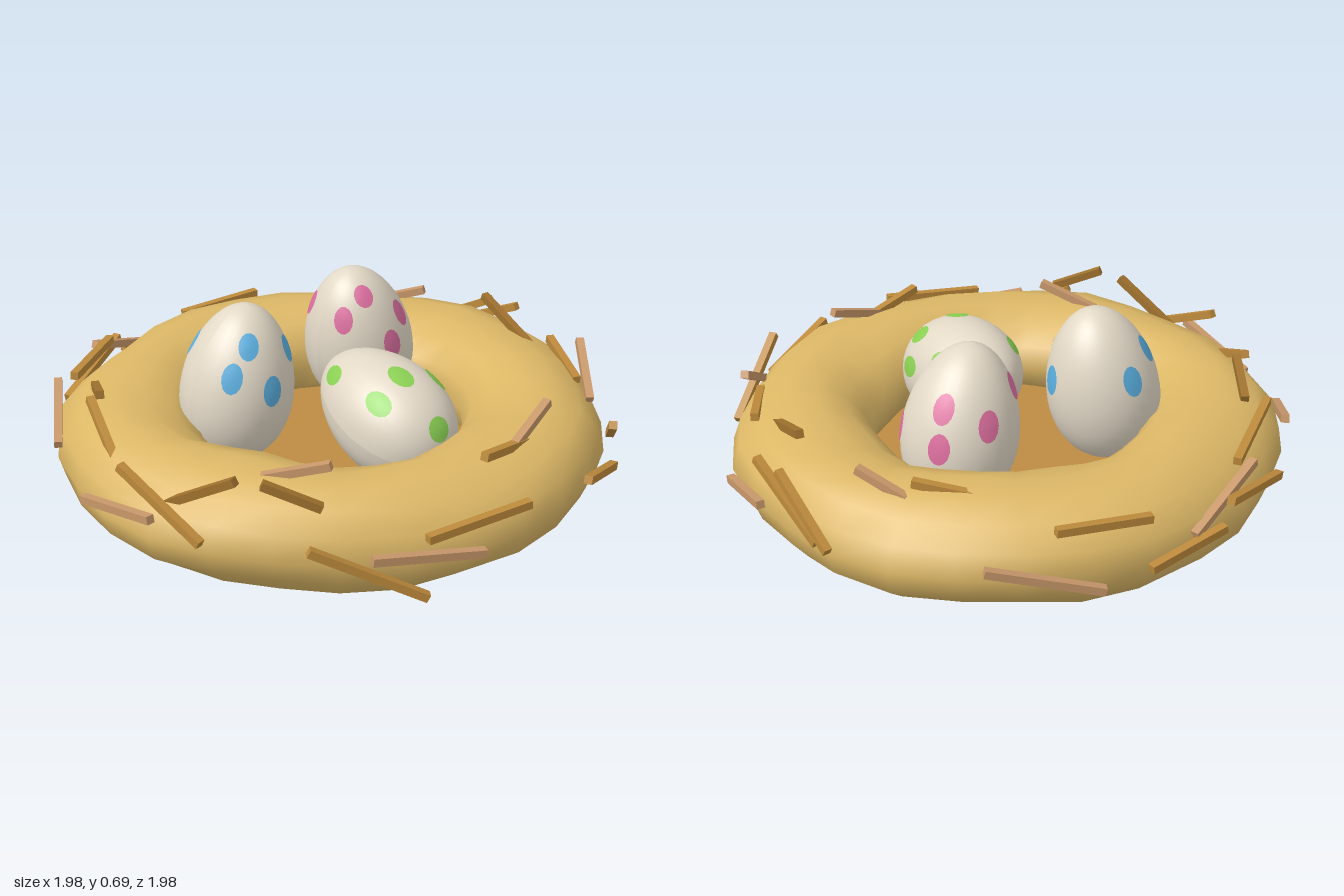
import * as THREE from 'three';
import { mergeVertices } from 'three/addons/utils/BufferGeometryUtils.js';

const mat = (name, color) => {
  const m = new THREE.MeshStandardMaterial({ color });
  m.name = name;
  return m;
};

function add(parent, name, geometry, material) {
  const mesh = new THREE.Mesh(geometry, material);
  mesh.name = name;
  parent.add(mesh);
  return mesh;
}

// Uneven straw ring: radii every 30 degrees, from +x towards +z
const OUTER = [0.96, 0.96, 0.95, 0.94, 0.93, 0.94, 0.97, 0.98, 0.95, 0.97, 0.94, 0.97];
const INNER = [0.47, 0.46, 0.45, 0.47, 0.47, 0.46, 0.48, 0.48, 0.46, 0.43, 0.46, 0.46];

function sample(table, angle) {
  const n = table.length;
  const t = (((angle / (2 * Math.PI)) % 1) + 1) % 1 * n;
  const i = Math.floor(t) % n;
  return THREE.MathUtils.lerp(table[i], table[(i + 1) % n], t - Math.floor(t));
}

function ringGeometry() {
  let geo = new THREE.TorusGeometry(1, 0.3, 14, 28);
  const p = geo.attributes.position;
  const uv = geo.attributes.uv;
  for (let i = 0; i < p.count; i++) {
    const a = -uv.getX(i) * 2 * Math.PI;
    const v = uv.getY(i) * 2 * Math.PI;
    const outer = sample(OUTER, a);
    const inner = sample(INNER, a);
    const bump = 0.008 * Math.sin(5 * a + 3 * v) + 0.006 * Math.sin(9 * a - 2 * v);
    const rho = (outer + inner) / 2 + ((outer - inner) / 2 + bump) * Math.cos(v);
    const half = 0.188 + 0.009 * Math.sin(5 * a + 1) + bump;
    p.setXYZ(i, rho * Math.cos(a), 0.2 + half * Math.sin(v), rho * Math.sin(a));
  }
  geo.deleteAttribute('uv');
  geo.deleteAttribute('normal');
  geo = mergeVertices(geo, 1e-4);
  geo.computeVertexNormals();
  return geo;
}

// Turns a unit sphere (or a cap of one) into an egg, blunt end down
function eggShape(geo, grow = 0) {
  const p = geo.attributes.position;
  for (let i = 0; i < p.count; i++) {
    const y = p.getY(i);
    const w = 0.198 * (1 - 0.13 * y) + grow;
    p.setXYZ(i, p.getX(i) * w, y * (0.287 + grow), p.getZ(i) * w);
  }
  geo.computeVertexNormals();
  return geo;
}

const UP = new THREE.Vector3(0, 1, 0);

function makeEgg(name, centre, axis, spots, shell, paint) {
  const egg = new THREE.Group();
  egg.name = name;
  egg.position.set(...centre);
  egg.quaternion.setFromUnitVectors(UP, new THREE.Vector3(...axis).normalize());
  add(egg, 'shell', eggShape(new THREE.SphereGeometry(1, 32, 24)), shell);
  const inverse = egg.quaternion.clone().invert();
  for (const s of spots) {
    const dir = new THREE.Vector3(...s).normalize().applyQuaternion(inverse);
    const cap = new THREE.SphereGeometry(1, 14, 3, 0, 2 * Math.PI, 0, 0.19);
    cap.applyQuaternion(new THREE.Quaternion().setFromUnitVectors(UP, dir));
    add(egg, 'spot', eggShape(cap, 0.003), paint);
  }
  return egg;
}

// Straw pieces as end points: x, y, z, x, y, z
const MID_TWIGS = [
  [-0.64, 0.22, -0.75, -0.31, 0.31, -0.92], [-0.27, 0.24, -0.95, 0.03, 0.2, -0.98],
  [-0.02, 0.33, -0.9, 0.3, 0.35, -0.85], [-0.71, 0.4, -0.57, -0.41, 0.37, -0.81],
  [-0.86, 0.33, -0.09, -0.8, 0.44, -0.32], [-0.94, 0.4, 0.07, -0.87, 0.24, 0.4],
  [-0.7, 0.3, 0.72, -0.39, 0.11, 0.92], [-0.37, 0.295, 0.89, 0, 0.315, 0.96],
  [-0.04, 0.42, 0.79, 0.21, 0.365, 0.73], [0.28, 0.29, 0.95, 0.56, 0.19, 0.82],
  [0.54, 0.35, 0.82, 0.78, 0.15, 0.61], [0.73, 0.33, 0.48, 0.85, 0.37, 0.23],
  [0.89, 0.22, -0.37, 0.95, 0.38, -0.04], [0.88, 0.22, -0.43, 0.92, 0.38, -0.15],
  [0.35, 0.36, -0.65, 0.59, 0.4, -0.45],
];
const PALE_TWIGS = [
  [-0.47, 0.36, -0.82, -0.16, 0.24, -0.94], [0.19, 0.17, -0.97, 0.54, 0.27, -0.83],
  [-0.89, 0.26, -0.4, -0.73, 0.36, -0.65], [-0.98, 0.22, -0.1, -0.95, 0.29, 0.25],
  [-0.61, 0.37, 0.37, -0.47, 0.44, 0.55], [-0.55, 0.265, 0.84, -0.2, 0.22, 0.97],
  [0.12, 0.37, 0.75, 0.35, 0.45, 0.69], [0.68, 0.31, 0.59, 0.81, 0.44, 0.41],
  [0.97, 0.24, -0.1, 0.97, 0.19, 0.18], [0.62, 0.36, -0.47, 0.72, 0.42, -0.32],
];
const DARK_TWIGS = [
  [-0.76, 0.44, -0.32, -0.67, 0.38, -0.5], [-0.87, 0.28, 0.18, -0.76, 0.44, 0.44],
  [-0.72, 0.45, 0.52, -0.58, 0.37, 0.64], [0.78, 0.34, 0.22, 0.81, 0.45, -0.08],
];

function addTwigs(parent, list, material) {
  for (const t of list) {
    const a = new THREE.Vector3(...t.slice(0, 3));
    const b = new THREE.Vector3(...t.slice(3));
    const twig = add(parent, 'twig', new THREE.BoxGeometry(0.028, 0.028, a.distanceTo(b)), material);
    twig.position.copy(a).add(b).multiplyScalar(0.5);
    twig.lookAt(b);
  }
}

export function createModel() {
  const model = new THREE.Group();
  model.name = 'nestWithEggs';
  const shell = mat('eggCream', 0xe2d8c6);

  // Nest body and floor
  add(model, 'nestRing', ringGeometry(), mat('straw', 0xdcb766));
  const floor = add(model, 'nestFloor', new THREE.CylinderGeometry(0.6, 0.68, 0.08, 32), mat('floorBrown', 0xbd8c44));
  floor.position.y = 0.07;

  // Loose straw
  const twigs = new THREE.Group();
  twigs.name = 'twigs';
  addTwigs(twigs, MID_TWIGS, mat('twigBrown', 0xbd8a3c));
  addTwigs(twigs, PALE_TWIGS, mat('twigPale', 0xc8976a));
  addTwigs(twigs, DARK_TWIGS, mat('twigDark', 0xa0722f));
  model.add(twigs);

  // Painted eggs
  model.add(makeEgg('blueEgg', [-0.29, 0.4, -0.175], [0.15, 1, 0.05], [
    [-0.3, 0.67, 0.68], [-0.65, 0.35, 0.68], [0.6, 0.44, 0.67], [0, 0.1, 1],
    [-0.6, 0.55, -0.55], [-0.05, 0.3, -0.95], [0.95, 0.1, 0.1],
  ], shell, mat('spotBlue', 0x5aaede)));
  model.add(makeEgg('pinkEgg', [0.28, 0.4, -0.2], [-0.22, 1, 0.08], [
    [-0.32, 0.72, 0.62], [0.4, 0.45, 0.8], [-0.75, 0.4, 0.5], [0, 0.1, 1], [0.9, 0.07, 0.4],
    [0.6, 0.5, -0.5], [-0.7, 0.45, -0.45], [0, 0.3, -0.95], [0.75, 0.1, -0.65],
  ], shell, mat('spotPink', 0xdc6f9f)));
  model.add(makeEgg('greenEgg', [0.035, 0.335, 0.235], [0, 0.3, -1], [
    [-0.66, 0.6, -0.4], [0.74, 0.55, -0.3], [0, 0.3, -0.95], [-0.65, 0.6, 0.45],
    [-0.1, 0.85, 0.4], [0.6, 0.65, 0.45], [0, 0.25, 0.95], [0.95, 0.2, 0.25],
  ], shell, mat('spotGreen', 0x8ad054)));
  return model;
}
